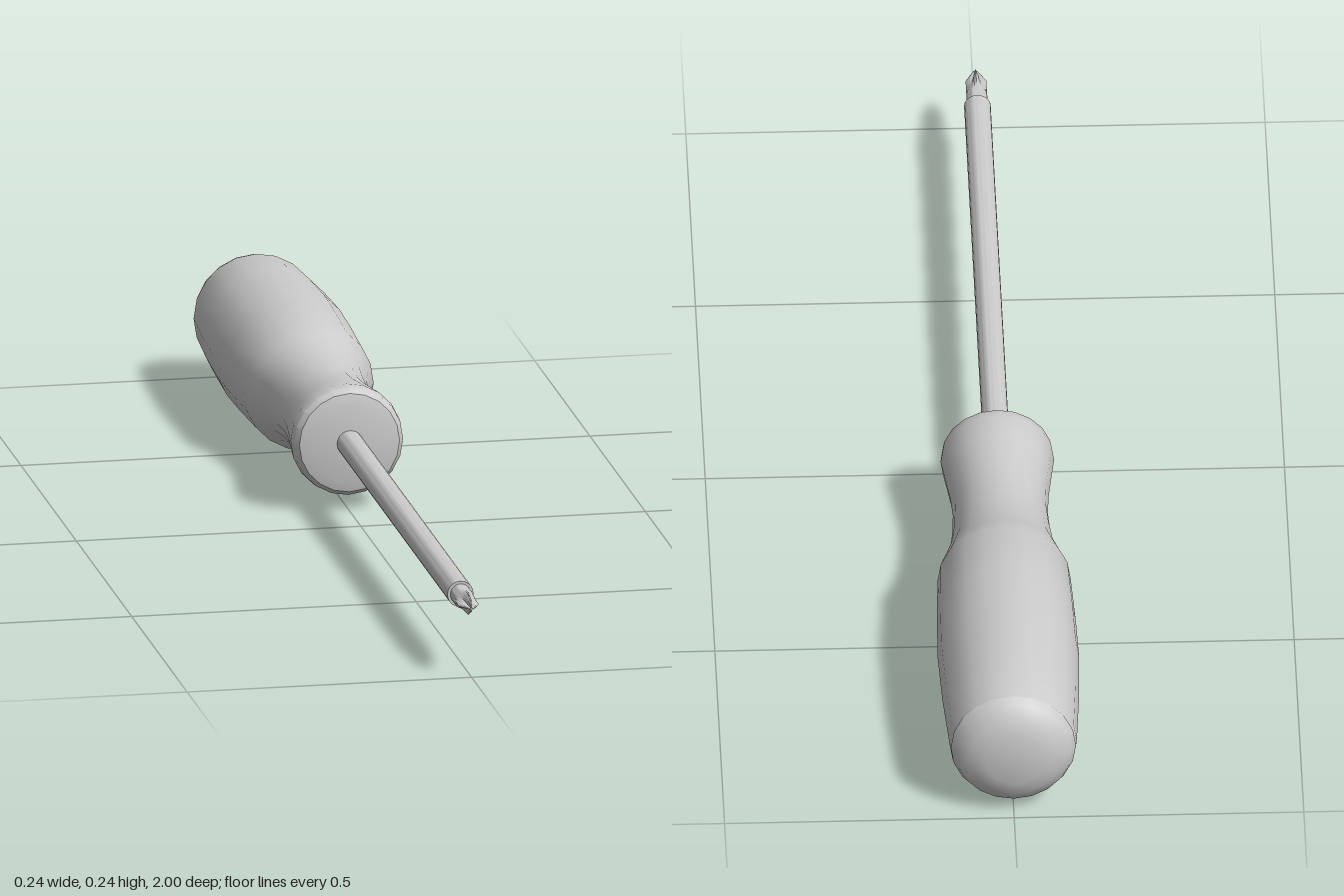
import * as THREE from 'three';
import { toCreasedNormals } from 'three/addons/utils/BufferGeometryUtils.js';

const AXIS_Y = 0.123;

// Turned solid along z from [radius, z] pairs, listed back to front.
function turned(profile, sides, reshape) {
  const geo = new THREE.LatheGeometry(profile.map(([r, z]) => new THREE.Vector2(r, z)), sides);
  if (reshape) reshape(geo.attributes.position);
  geo.rotateX(Math.PI / 2);
  return toCreasedNormals(geo, 0.6);
}

// Four tapering grooves that leave a cross at the point.
function cutFlutes(pos) {
  for (let i = 0; i < pos.count; i++) {
    const x = pos.getX(i), y = pos.getY(i), z = pos.getZ(i);
    const depth = THREE.MathUtils.clamp((y - 0.93) / 0.04, 0, 1) * 0.6;
    const groove = Math.pow(Math.abs(Math.sin(2 * Math.atan2(x, z))), 1.5);
    const k = 1 - depth * groove;
    pos.setXYZ(i, x * k, y, z * k);
  }
}

export function createModel() {
  const model = new THREE.Group();
  model.name = 'screwdriver';
  const material = new THREE.MeshStandardMaterial({ color: 0xcccccc });
  const add = (name, geometry) => {
    const mesh = new THREE.Mesh(geometry, material);
    mesh.name = name;
    mesh.position.y = AXIS_Y;
    model.add(mesh);
  };

  // Swelling grip with a narrow neck and a rounded collar
  add('handle', turned([
    [0.106, -0.96], [0.11, -0.945], [0.118, -0.82], [0.122, -0.7], [0.12, -0.6],
    [0.115, -0.475], [0.104, -0.44], [0.091, -0.395], [0.085, -0.34], [0.082, -0.285],
    [0.085, -0.235], [0.093, -0.17], [0.098, -0.13], [0.096, -0.112],
    [0.088, -0.102], [0.068, -0.097], [0, -0.097],
  ], 20));

  // Domed butt of the handle
  add('endCap', turned([
    [0, -1], [0.05, -0.999], [0.078, -0.99], [0.1, -0.974], [0.108, -0.958],
  ], 20));

  // Steel rod
  add('shaft', turned([[0, -0.12], [0.023, -0.12], [0.023, 0.9], [0, 0.9]], 20));

  // Stepped cross-head bit
  add('tip', turned([
    [0, 0.89], [0.018, 0.89], [0.018, 0.93], [0.018, 0.95], [0.018, 0.972],
    [0.011, 0.986], [0.004, 1], [0, 1],
  ], 32, cutFlutes));

  return model;
}
